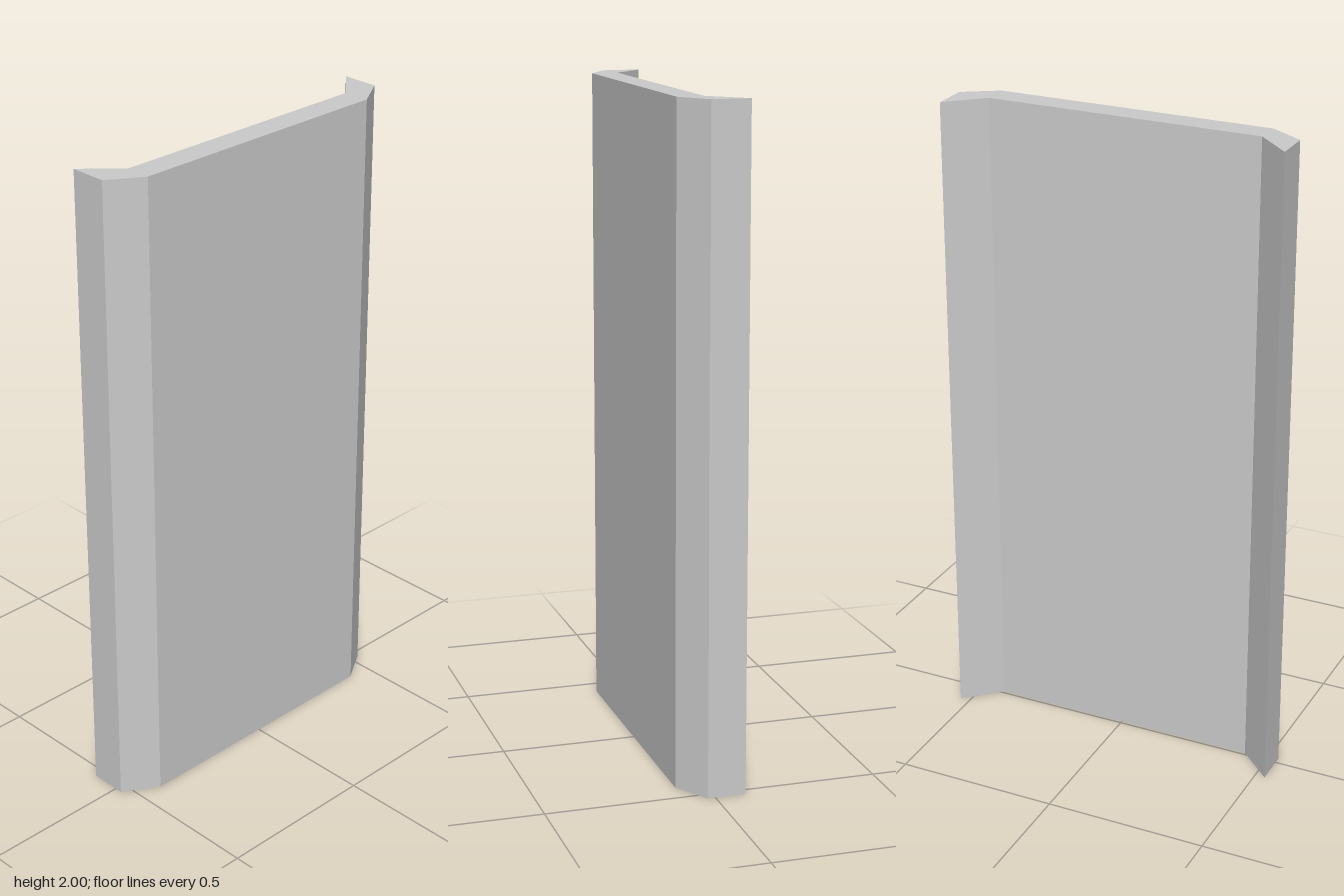
import * as THREE from 'three';

const HEIGHT = 2;

// Half of the plan outline as [x, z]: outer bend, outer rim, inner rim, inner bend
const HALF = [[0.0885, 0.427], [0.023, 0.531], [-0.0915, 0.531], [0.0085, 0.425]];

export function createModel() {
  const group = new THREE.Group();
  group.name = 'channelPanel';

  // Mirror the half outline to close the channel section
  const mirrored = HALF.map(([x, z]) => [x, -z]).reverse();
  const section = new THREE.Shape([...HALF, ...mirrored].map(([x, z]) => new THREE.Vector2(x, z)));

  // Extrude the section upward
  const geometry = new THREE.ExtrudeGeometry(section, { depth: HEIGHT, bevelEnabled: false });
  geometry.rotateX(-Math.PI / 2);

  const panel = new THREE.Mesh(
    geometry,
    new THREE.MeshStandardMaterial({ color: 0xcccccc, flatShading: true })
  );
  panel.name = 'flangedPanel';
  group.add(panel);
  return group;
}
